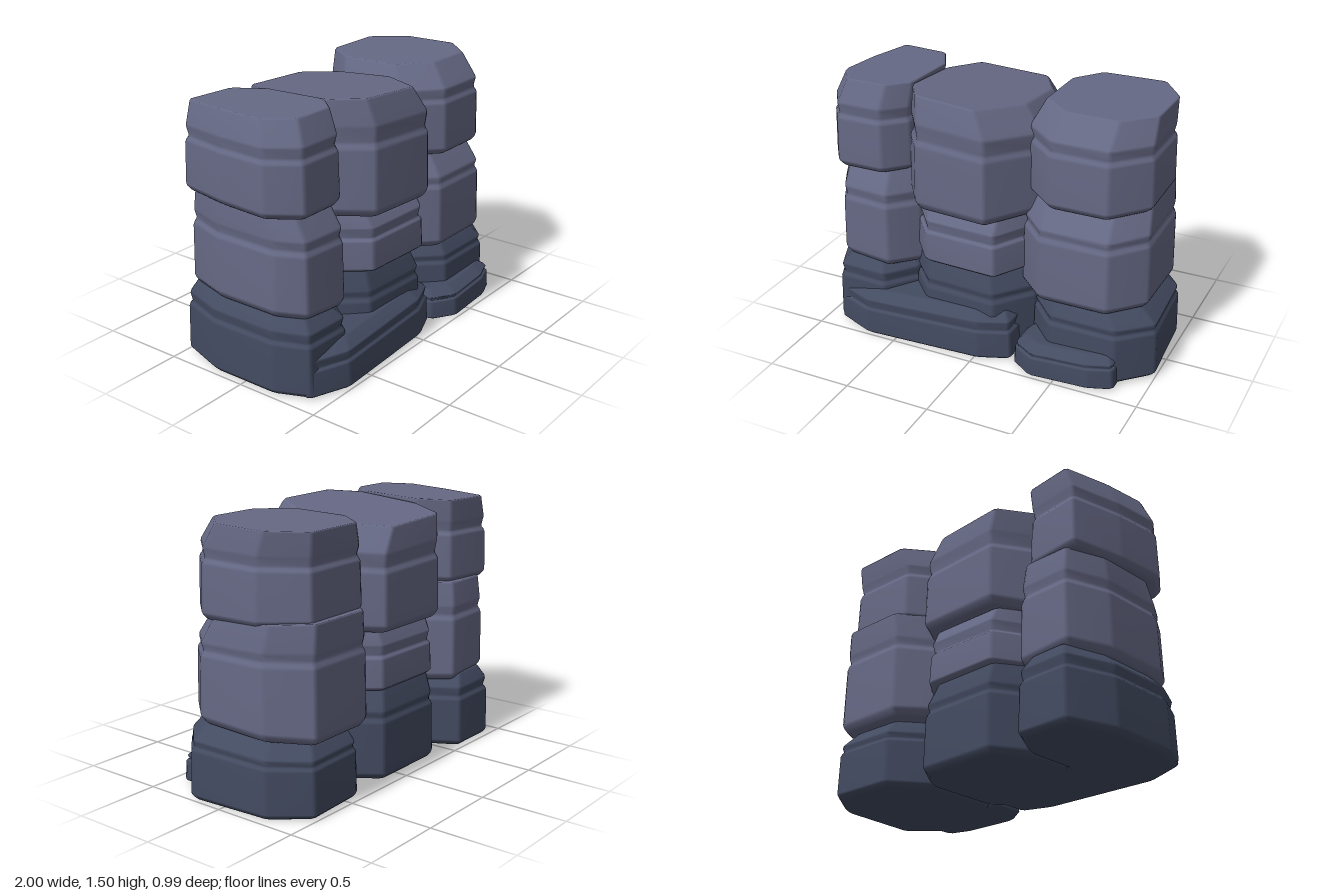
import * as THREE from 'three';

const upperMat = new THREE.MeshStandardMaterial({ color: 0x666985 });
const lowerMat = new THREE.MeshStandardMaterial({ color: 0x434b61 });

const mix = (p, q, k) => p.map((v, i) => v + (q[i] - v) * k);

// Split every corner of a footprint into a narrow chamfer, so the edges shade softly
function chamferOutline(foot, d = 0.016) {
  const n = foot.length;
  const toward = (p, q) => mix(p, q, d / Math.hypot(q[0] - p[0], q[1] - p[1]));
  return foot.flatMap((p, i) => [toward(p, foot[(i + n - 1) % n]), toward(p, foot[(i + 1) % n])]);
}

// The same for the edges between the levels of a stone
function chamferLevels(levels, d = 0.015) {
  const toward = (p, q) => mix(p, q, Math.min(0.25, d / Math.abs(q[0] - p[0])));
  const last = levels.length - 1;
  return levels.flatMap((p, i) => (i === 0 || i === last ? [p] : [toward(p, levels[i - 1]), toward(p, levels[i + 1])]));
}

// Loft of an eight-sided footprint [x, z] (from back left, round by the right to the front).
// bevel = how far the top face is drawn in on the [left, right, back, front];
// tilt = slope of the top in [x, z]; low = the same for the underside.
function stone({ name, mat, foot, y, bevel, tilt = [0, 0], low = [0, 0], base = 0.028, groove = 0.62, shoulder = 0.76 }) {
  const xs = foot.map(p => p[0]), zs = foot.map(p => p[1]);
  const x0 = Math.min(...xs), x1 = Math.max(...xs), z0 = Math.min(...zs), z1 = Math.max(...zs);
  const cx = (x0 + x1) / 2, cz = (z0 + z1) / 2;
  const outline = chamferOutline(foot), n = outline.length;
  const even = (t, d) => [t, d, d, d, d];

  // Height fraction and insets: underside, base edge, body, groove, shoulder, top rim, top
  const levels = chamferLevels([
    even(0, base + 0.015), even(0, base), even(0.07, 0), even(groove, 0.006),
    even(groove + 0.05, 0.024), even(shoulder, 0.012), [1, ...bevel], [1, ...bevel.map(b => b + 0.015)],
  ]);
  const pos = [], idx = [];
  for (const [t, l, r, b, f] of levels) {
    for (const [px, pz] of outline) {
      const x = x0 + l + (px - x0) / (x1 - x0) * (x1 - x0 - l - r);
      const z = z0 + b + (pz - z0) / (z1 - z0) * (z1 - z0 - b - f);
      const bottom = y[0] + low[0] * (x - cx) + low[1] * (z - cz);
      const top = y[1] + tilt[0] * (x - cx) + tilt[1] * (z - cz);
      pos.push(x, bottom + t * (top - bottom), z);
    }
  }
  for (let k = 0; k < levels.length - 1; k++) {
    for (let i = 0; i < n; i++) {
      const a = k * n + i, b = k * n + (i + 1) % n;
      idx.push(a, a + n, b + n, a, b + n, b);
    }
  }
  // Flat underside and top
  const over = (levels.length - 1) * n;
  for (let i = 1; i < n - 1; i++) {
    idx.push(0, i, i + 1);
    idx.push(over, over + i + 1, over + i);
  }
  const geo = new THREE.BufferGeometry();
  geo.setAttribute('position', new THREE.Float32BufferAttribute(pos, 3));
  geo.setIndex(idx);
  geo.computeVertexNormals();
  const mesh = new THREE.Mesh(geo, mat);
  mesh.name = name;
  return mesh;
}

const columns = {
  // Narrow column on the -x side
  rightColumn: [
    { name: 'rightBaseStone', mat: lowerMat, y: [0, 0.44], bevel: [0.08, 0.1, 0.05, 0.08], tilt: [-0.03, 0], groove: 0.66, shoulder: 0.83,
      foot: [[-0.89, -0.485], [-0.58, -0.485], [-0.46, -0.28], [-0.46, 0.22], [-0.6, 0.41], [-0.9, 0.41], [-0.985, 0.22], [-0.985, -0.2]] },
    { name: 'rightMiddleStone', mat: upperMat, y: [0.42, 1.0], bevel: [0.02, 0.03, 0.03, 0.09], low: [-0.08, 0],
      foot: [[-0.87, -0.44], [-0.56, -0.44], [-0.44, -0.24], [-0.44, 0.22], [-0.58, 0.38], [-0.87, 0.37], [-0.955, 0.22], [-0.955, -0.18]] },
    { name: 'rightTopStone', mat: upperMat, y: [0.99, 1.49], bevel: [0.06, 0.01, 0.01, 0.07], tilt: [0, 0.03], groove: 0.57, shoulder: 0.74,
      foot: [[-0.92, -0.42], [-0.59, -0.385], [-0.48, -0.19], [-0.48, 0.24], [-0.6, 0.37], [-0.88, 0.37], [-1, 0.2], [-0.98, -0.1]] },
  ],
  // Tall-capped column in the middle
  centreColumn: [
    { name: 'centreBaseStone', mat: lowerMat, y: [0, 0.52], bevel: [0.03, 0.07, 0.05, 0.05], groove: 0.64,
      foot: [[-0.34, -0.45], [0.14, -0.45], [0.27, -0.28], [0.27, 0.18], [0.1, 0.4], [-0.34, 0.38], [-0.49, 0.22], [-0.49, -0.2]] },
    { name: 'centreMiddleStone', mat: upperMat, y: [0.51, 0.85], bevel: [0.005, 0.01, 0.05, 0.07], tilt: [0.01, 0], groove: 0.54,
      foot: [[-0.34, -0.43], [0.13, -0.43], [0.255, -0.28], [0.255, 0.16], [0.11, 0.41], [-0.33, 0.39], [-0.465, 0.22], [-0.465, -0.2]] },
    { name: 'centreTopStone', mat: upperMat, y: [0.85, 1.46], bevel: [0.01, 0.12, 0.03, 0.06], tilt: [-0.045, 0.08], groove: 0.58, shoulder: 0.77,
      foot: [[-0.36, -0.46], [0.15, -0.46], [0.29, -0.24], [0.29, 0.15], [0.08, 0.46], [-0.36, 0.425], [-0.49, 0.24], [-0.49, -0.2]] },
  ],
  // Broad column on the +x side
  leftColumn: [
    { name: 'leftBaseStone', mat: lowerMat, y: [0, 0.41], bevel: [0.05, 0.11, 0.08, 0.06], tilt: [0, 0.03], groove: 0.67, shoulder: 0.8,
      foot: [[0.42, -0.475], [0.8, -0.495], [0.965, -0.3], [1, 0.2], [0.82, 0.375], [0.42, 0.375], [0.25, 0.19], [0.25, -0.25]] },
    { name: 'leftMiddleStone', mat: upperMat, y: [0.41, 1.01], bevel: [0.04, 0.03, 0.01, 0.11], tilt: [0, -0.06], low: [0, 0.03], groove: 0.64,
      foot: [[0.36, -0.49], [0.79, -0.495], [0.93, -0.26], [0.93, 0.18], [0.76, 0.37], [0.35, 0.37], [0.19, 0.21], [0.18, -0.26]] },
    { name: 'leftTopStone', mat: upperMat, y: [0.99, 1.495], bevel: [0.07, 0.02, 0, 0.12], tilt: [0, 0.015], low: [0, -0.03], groove: 0.58, shoulder: 0.74,
      foot: [[0.34, -0.44], [0.76, -0.45], [0.92, -0.22], [0.92, 0.16], [0.74, 0.355], [0.4, 0.355], [0.2, 0.18], [0.2, -0.24]] },
  ],
  // Low slabs along the front foot
  frontSlabs: [
    { name: 'longFrontSlab', mat: lowerMat, y: [0, 0.275], bevel: [0.1, 0.06, 0.02, 0.08], tilt: [0.03, 0], base: 0.02, groove: 0.58, shoulder: 0.82,
      foot: [[-0.7, 0], [0.05, 0], [0.205, 0.08], [0.205, 0.39], [0.03, 0.46], [-0.68, 0.495], [-0.91, 0.4], [-0.91, 0.12]] },
    { name: 'shortFrontSlab', mat: lowerMat, y: [0, 0.18], bevel: [0.05, 0.05, 0.02, 0.08], tilt: [0.03, 0], base: 0.02, groove: 0.64, shoulder: 0.8,
      foot: [[0.36, 0.15], [0.7, 0.15], [0.835, 0.22], [0.835, 0.42], [0.7, 0.47], [0.36, 0.49], [0.225, 0.4], [0.225, 0.22]] },
  ],
};

export function createModel() {
  const model = new THREE.Group();
  model.name = 'stackedStoneWall';
  for (const [name, stones] of Object.entries(columns)) {
    const group = new THREE.Group();
    group.name = name;
    stones.forEach(s => group.add(stone(s)));
    model.add(group);
  }
  return model;
}
